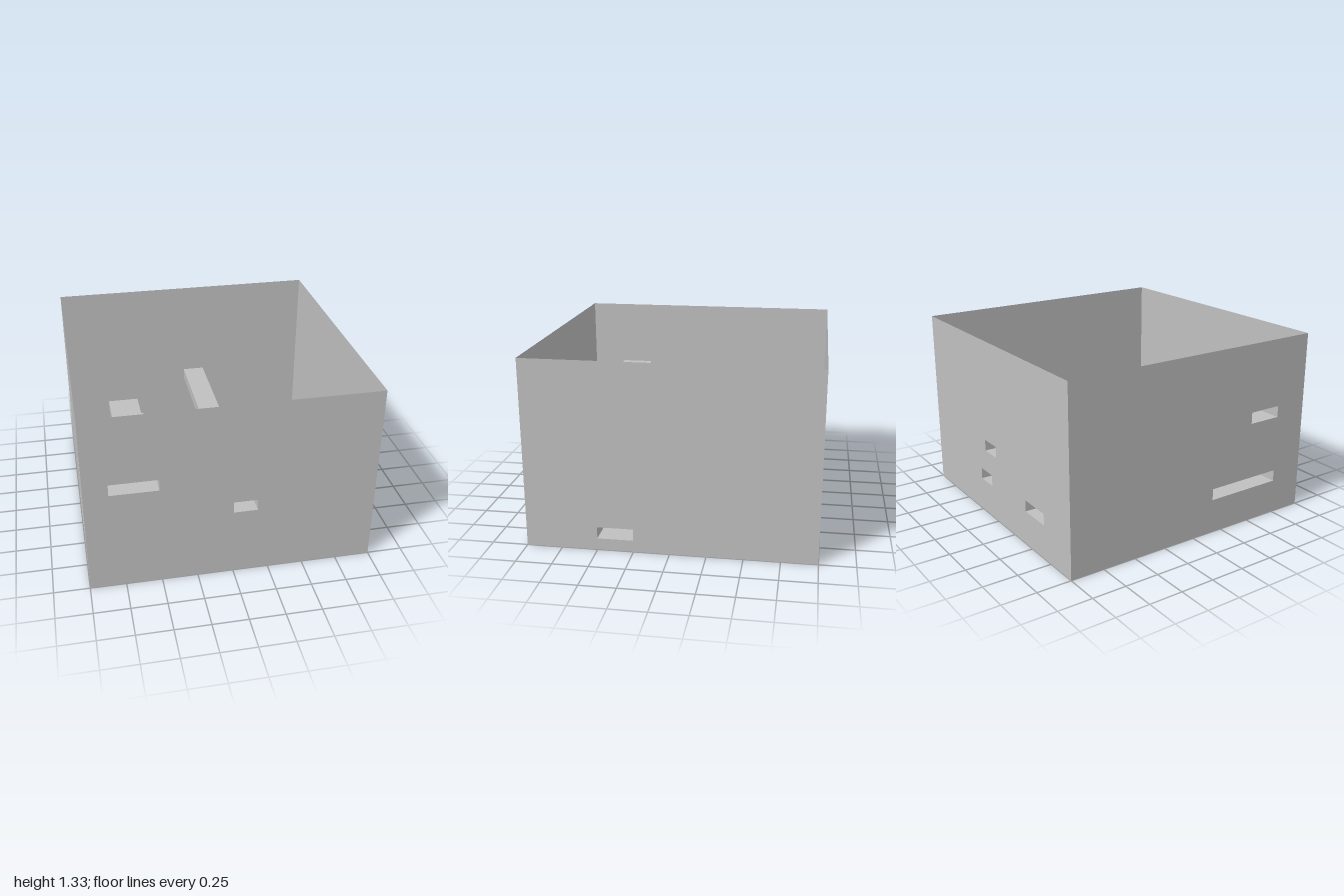
import * as THREE from 'three';
import { mergeGeometries } from 'three/addons/utils/BufferGeometryUtils.js';

const U = 1 / 12; // one grid unit
const H = 12;     // half the box width in grid units

export function createModel() {
  const model = new THREE.Group();
  const grey = new THREE.MeshStandardMaterial({ color: 0xc0c0c0, side: THREE.DoubleSide });
  grey.name = 'plain grey';

  const add = (name, geometry) => {
    const mesh = new THREE.Mesh(geometry, grey);
    mesh.name = name;
    mesh.scale.setScalar(U);
    model.add(mesh);
  };
  const rect = (x0, y0, x1, y1) => [[x0, y0], [x1, y0], [x1, y1], [x0, y1]];
  const toShape = (outline, holes = []) => {
    const path = (pts) => pts.map(([x, y]) => new THREE.Vector2(x, y));
    const shape = new THREE.Shape(path(outline));
    for (const h of holes) shape.holes.push(new THREE.Path(path(h)));
    return shape;
  };
  // Flat sheet in the xz plane at height y
  const sheet = (outline, holes, y) =>
    new THREE.ShapeGeometry(toShape(outline, holes)).rotateX(Math.PI / 2).translate(0, y, 0);
  // Upright walls along a closed outline, left open where it meets the box sides
  const walls = (outline, y0, y1) => {
    const parts = [];
    outline.forEach(([x, z], i) => {
      const [x2, z2] = outline[(i + 1) % outline.length];
      if ((Math.abs(x) === H && x === x2) || (Math.abs(z) === H && z === z2)) return;
      const g = new THREE.PlaneGeometry(Math.hypot(x2 - x, z2 - z), y1 - y0);
      g.rotateY(-Math.atan2(z2 - z, x2 - x));
      parts.push(g.translate((x + x2) / 2, (y0 + y1) / 2, (z + z2) / 2));
    });
    return parts;
  };
  // Hollow passage: roof, walls round the outline and islands, floor unless on the ground
  const duct = (name, outline, y0, y1, islands = [], drains = []) => {
    const parts = [sheet(outline, islands, y1), ...walls(outline, y0, y1)];
    for (const island of islands) parts.push(...walls(island, y0, y1));
    if (y0 > 0) parts.push(sheet(outline, [...islands, ...drains], y0));
    add(name, mergeGeometries(parts));
  };
  const shaft = (name, outline, y1) => add(name, mergeGeometries(walls(outline, 0, y1)));
  // Passage whose side profile (x, y) runs from z0 to z1
  const profileDuct = (name, profile, z0, z1) => add(name,
    new THREE.ExtrudeGeometry(toShape(profile), { depth: z1 - z0, bevelEnabled: false }).translate(0, 0, z0));

  // Open-topped shell with thin sides
  const side = (holes) => new THREE.ShapeGeometry(toShape(rect(-H, 0, H, 16), holes));
  add('frontWall', side([rect(-10, 9, -6, 10), rect(0, 6, 2, 7)]).translate(0, 0, H));
  add('backWall', side([rect(0, 6, 2, 7), rect(1, 3, 3, 4), rect(-8, 3, -5, 4)]).translate(0, 0, -H));
  add('leftWall', side([rect(3, 1, 6, 2)]).rotateY(-Math.PI / 2).translate(H, 0, 0));
  add('rightWall', side([rect(6, 9, 9, 10), rect(2, 3, 9, 4)]).rotateY(-Math.PI / 2).translate(-H, 0, 0));

  // Openings in the floor
  const bigEast = rect(6, -8, 9, -2);
  const middle = rect(-6, 1, -1.5, 4);
  const slot = rect(-4, -2, -3, 0);
  const square = rect(-8, -8, -6, -6);
  const strip = rect(-9, 5, -7, 6);
  const corner = [[7, 3], [9, 3], [9, 6], [8, 6], [8, 4], [7, 4]];
  const comb = [[1, 5], [3, 5], [3, 6], [2, 6], [2, 7], [9, 7], [9, 8], [2, 8], [2, 9], [3, 9], [3, 10], [1, 10]];
  add('baseFloor', sheet(rect(-H, -H, H, H), [bigEast, middle, slot, square, strip, corner, comb], 0));
  const inset = ([x0, z0], [x1, z1]) => rect(x0 + 0.01, z0 + 0.01, x1 - 0.01, z1 - 0.01);
  const drain = (r) => inset(r[0], r[2]);
  shaft('eastShaft', bigEast, 3);
  shaft('middleShaft', middle, 3);
  shaft('slotShaft', slot, 3);
  shaft('squareShaft', square, 3);
  shaft('stripShaft', strip, 2);
  shaft('cornerShaft', corner, 1);
  duct('combTrench', comb, 0, 1);

  // Straight passage from front to back
  duct('throughPassage', rect(0, -H, 2, H), 6, 7);

  // Branching middle level
  duct('backPassages', [
    [-8, -12], [-5, -12], [-5, -9], [-4, -8], [1, -8], [1, -12], [3, -12], [3, -8], [9, -8], [9, -2],
    [5, -2], [5, -1], [3, -1], [3, -2], [-1, -2], [-1, 0], [-6, 0], [-6, 1], [-8, 1],
  ], 3, 4, [
    [[-4, -6], [-5, -5], [-5, -2], [-2, -2], [-2, -4], [-1, -5], [1, -5], [1, -6]],
    rect(3, -6, 6, -4),
  ], [drain(bigEast), inset([-8, -8], [-6, -6]), inset([-4, -2], [-3, 0])]);
  duct('rightChamber', [
    [-12, 2], [-10, 2], [-10, 1], [0, 1], [0, 5], [-4, 5], [-4, 4], [-10, 4], [-10, 9], [-12, 9],
  ], 3, 4, [], [drain(middle)]);
  duct('lowAlcove', rect(-11, 4, -6, 6), 2, 3, [], [inset([-9, 5], [-7, 6])]);

  // Passage that steps down to the left side
  const dip = new THREE.ExtrudeGeometry(toShape([[-1, 3], [-1, 4], [0, 3], [0, 2]]), { depth: 2, bevelEnabled: false });
  add('backRamp', dip.rotateY(-Math.PI / 2).translate(5, 0, 0));
  duct('cornerPassage', [[3, 0], [5, 0], [5, 3], [6, 3], [6, 4], [3, 4]], 2, 3);
  profileDuct('leftRamp', [[6, 2], [6, 3], [7, 2], [7, 1]], 3, 4);
  duct('leftPassage', [[12, 3], [7, 3], [7, 4], [8, 4], [8, 6], [12, 6]], 1, 2, [], [
    [[7.01, 3.01], [8.99, 3.01], [8.99, 5.99], [8.01, 5.99], [8.01, 3.99], [7.01, 3.99]],
  ]);

  // Arch over the straight passage, with a foot on each side
  profileDuct('archPassage', [
    [-10, 3], [-3, 3], [-3, 8.5], [-2.5, 9], [1.6, 9], [2.5, 8.1], [2.5, 1], [6, 1], [6, 2],
    [3.5, 2], [3.5, 8.5], [2, 10], [-3, 10], [-4, 9], [-4, 4], [-10, 4],
  ], 5, 6);
  duct('archTurn', rect(4, 6, 5, 8), 1, 2);
  profileDuct('trenchRamp', [[5, 1], [5, 2], [6, 1], [6, 0.02]], 6, 8);

  // Upper chamber and the ramp down from it
  duct('upperChamber', [[-12, 6], [-6, 6], [-6, 12], [-10, 12], [-10, 9], [-12, 9]], 9, 10);
  profileDuct('upperRamp', [[-6, 9], [-4.4, 9], [-1.4, 6], [0, 6], [0, 7], [-1, 7], [-4, 10], [-6, 10]], 7, 9);

  return model;
}
